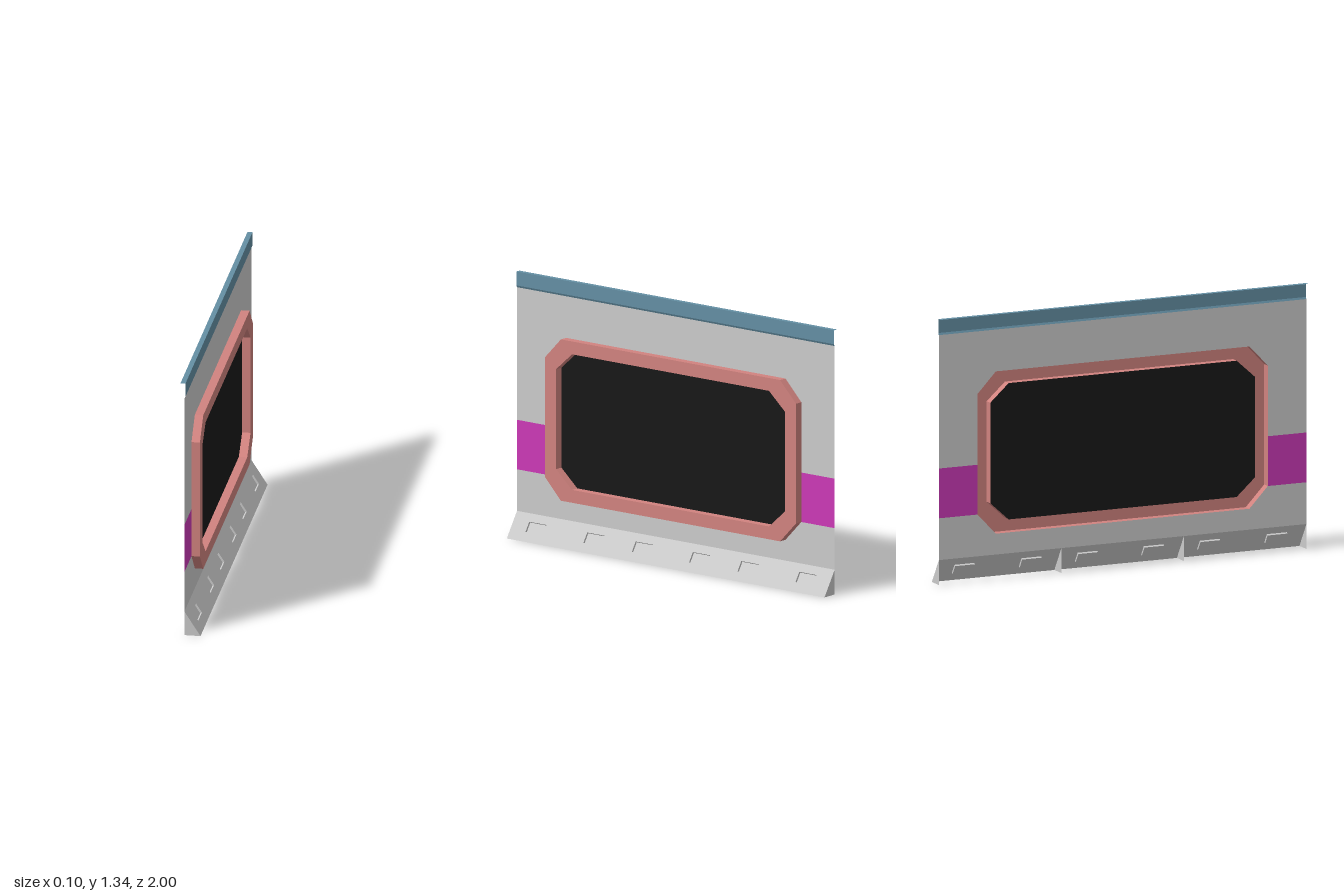
import * as THREE from 'three';

const mat = (color) => new THREE.MeshStandardMaterial({ color, side: THREE.DoubleSide, flatShading: true });
const V2 = (pts) => pts.map(([x, y]) => new THREE.Vector2(x, y));

// Open strip: a 2D profile carried from z = a to z = b.
function ribbon(pts, a, b, closed = false) {
  const pos = [];
  const n = closed ? pts.length : pts.length - 1;
  for (let i = 0; i < n; i++) {
    const [x0, y0] = pts[i], [x1, y1] = pts[(i + 1) % pts.length];
    pos.push(x0, y0, a, x1, y1, a, x1, y1, b, x0, y0, a, x1, y1, b, x0, y0, b);
  }
  const g = new THREE.BufferGeometry();
  g.setAttribute('position', new THREE.Float32BufferAttribute(pos, 3));
  g.computeVertexNormals();
  return g;
}

// Flat sheet with optional holes.
function sheet(pts, holes = []) {
  const s = new THREE.Shape(V2(pts));
  holes.forEach((h) => s.holes.push(new THREE.Path(V2(h))));
  return new THREE.ShapeGeometry(s);
}

// Rectangle with cut corners.
const octagon = (w, y0, y1, cx, cy) => [
  [-w + cx, y0], [w - cx, y0], [w, y0 + cy], [w, y1 - cy],
  [w - cx, y1], [-w + cx, y1], [-w, y1 - cy], [-w, y0 + cy],
];

export function createModel() {
  const model = new THREE.Group();
  const grey = mat(0xcccccc), red = mat(0xd1837f), blue = mat(0x648fa4);
  const magenta = mat(0xcc39b7), black = mat(0x181818);
  const add = (parent, name, geo, material) => {
    const m = new THREE.Mesh(geo, material);
    m.name = name;
    parent.add(m);
    return m;
  };

  // Wall group: local x runs along the wall, local z points outward (+x of the model)
  const wall = new THREE.Group();
  wall.name = 'wall';
  wall.rotation.y = Math.PI / 2;
  model.add(wall);
  const back = -0.03, front = 0.012;
  const outer = octagon(0.79, 0.23, 1.045, 0.1, 0.105);
  const inner = octagon(0.72, 0.295, 0.98, 0.1, 0.09);

  // Wall sheets above and below the stripe, cut around the window
  const lower = [[-1, 0.125], [1, 0.125], [1, 0.335], outer[2], outer[1], outer[0], outer[7], [-1, 0.335]];
  const upper = [[1, 0.585], [1, 1.255], [-1, 1.255], [-1, 0.585], [-0.79, 0.585],
    outer[6], outer[5], outer[4], outer[3], [0.79, 0.585]];
  add(wall, 'lowerWall', sheet(lower), grey).position.z = back;
  add(wall, 'upperWall', sheet(upper), grey).position.z = back;

  // Stripe on both sides of the window
  for (const s of [-1, 1]) {
    const stripe = add(wall, 'stripe', new THREE.PlaneGeometry(0.21, 0.25), magenta);
    stripe.position.set(s * 0.895, 0.46, back);
  }

  // Window frame: a channel open at the back, with a recessed pane
  add(wall, 'frameFace', sheet(outer, [inner]), red).position.z = front;
  add(wall, 'frameOuterWall', ribbon(outer, back, front, true), red);
  add(wall, 'frameInnerWall', ribbon(inner, back, front, true), red);
  add(wall, 'windowPane', sheet(inner), black).position.z = back;

  // Sloping skirt with pockets
  const skirt = new THREE.Group();
  skirt.name = 'skirt';
  skirt.position.z = 0.05;
  skirt.rotation.x = -Math.atan2(0.08, 0.125);
  wall.add(skirt);
  const length = Math.hypot(0.08, 0.125);
  const p0 = 0.05, p1 = 0.105, half = 0.054, depth = 0.01;
  const centres = [-0.85, -0.485, -0.18, 0.18, 0.485, 0.85];
  const holes = centres.map((c) => [[c - half, p0], [c - half, p1], [c + half, p1], [c + half, p0]]);
  add(skirt, 'skirtSheet', sheet([[-1, 0], [1, 0], [1, length], [-1, length]], holes), grey);
  for (const c of centres) {
    const box = new THREE.BoxGeometry(2 * half, p1 - p0, depth);
    // leave the outward face open
    box.setIndex([...box.index.array].filter((_, i) => i < 24 || i >= 30));
    box.clearGroups();
    add(skirt, 'skirtPocket', box, grey).position.set(c, (p0 + p1) / 2, -depth / 2);
  }

  // Triangular ribs under the skirt
  for (const z of [-1, -1 / 3, 1 / 3, 1]) {
    add(model, 'skirtRib', sheet([[back, 0], [0.05, 0], [back, 0.125]]), grey).position.z = z;
  }

  // Top trim with a small lip turned inward
  const trim = [[-0.03, 1.255], [-0.025, 1.265], [-0.025, 1.335], [-0.05, 1.335]];
  add(model, 'topTrim', ribbon(trim, -1, 1), blue);

  return model;
}
